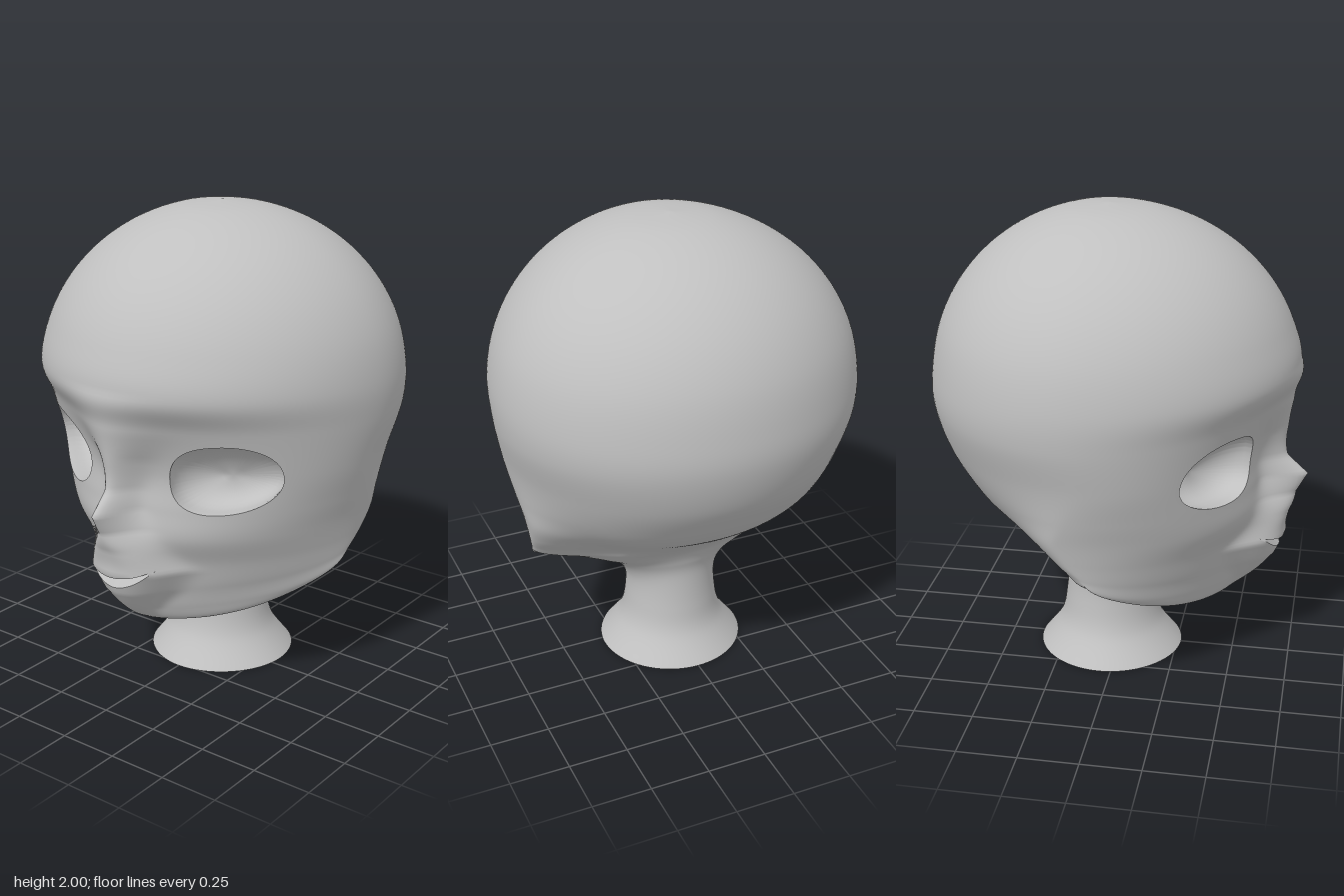
import * as THREE from 'three';
import { mergeVertices } from 'three/addons/utils/BufferGeometryUtils.js';

// A loop holds: front y, front z, side y, half width, side z, back y, back z
// Rounded crown
function crownLoop(i) {
  const a = i * .2475, y = 1.3 + .7 * Math.cos(a), s = Math.sin(a);
  return [y, .8 * s - .05, y, .77 * s, -.05 - .04 * s, y, -.05 - .74 * s];
}
// Round neck, flaring to its base
function neckLoop(y) {
  const r = .202 + .114 * (1 - y / .24) ** 2;
  return [y, r - .047, y, r, -.047, y, -.047 - r];
}
// Face, jaw and underside of the jaw
const FACE = [
  [1.22, .665, 1.2, .765, -.09, 1.2, -.792],
  [1.02, .6, 1.02, .73, -.06, 1.02, -.74],
  [.87, .61, .88, .702, -.11, .87, -.64],
  [.75, .62, .78, .68, -.15, .77, -.55],
  [.63, .58, .69, .66, -.12, .7, -.46],
  [.5, .57, .62, .642, -.07, .645, -.39],
  [.4, .55, .57, .622, -.03, .6, -.335],
  [.33, .49, .54, .54, 0, .56, -.295],
  [.335, .38, .49, .4, 0, .53, -.275],
  [.35, .22, .44, .27, -.02, .48, -.255],
  [.33, .16, .36, .205, -.04, .4, -.238],
];
const LOOPS = [...[0, 1, 2, 3, 4, 5, 6].map(crownLoop), ...FACE, ...[.24, .12, 0].map(neckLoop)];

// Mid-face relief: y, forward amount, half width
const RELIEF = [
  [1.38, 0, .2], [1.21, .066, .16], [1.08, .093, .09], [.95, .11, .06], [.87, .188, .055],
  [.785, .13, .08], [.705, .12, .14], [.6, .14, .2], [.5, .105, .15], [.4, .04, .08], [.34, 0, .06],
];

function spline(get, t) {
  const n = LOOPS.length - 1, i = Math.min(Math.floor(t), n - 1), f = t - i;
  const [a, b, c, d] = [i - 1, i, i + 1, i + 2].map(k => get(Math.min(n, Math.max(0, k))));
  return b + .5 * f * (c - a + f * (2 * a - 5 * b + 4 * c - d + f * (3 * (b - c) + d - a)));
}

function relief(x, y) {
  const i = RELIEF.findIndex(r => y > r[0]);
  if (i < 1) return 0;
  const a = RELIEF[i - 1], b = RELIEF[i], f = (a[0] - y) / (a[0] - b[0]);
  const amount = a[1] + (b[1] - a[1]) * f, width = a[2] + (b[2] - a[2]) * f;
  // Narrow nose above, flatter muzzle below
  const power = 4 - 2 * THREE.MathUtils.smoothstep(y, .62, .8);
  return amount * Math.exp(-(Math.abs(x / width) ** power));
}

const upperLip = x => .585 + 1.4 * x * x;
const lowerLip = x => .535 + 3.2 * x * x;

// Openings: negative inside
function eyeField(p) {
  const dx = Math.abs(p.x) - .392, dy = p.y - 1.018 - .1 * dx;
  return Math.abs(dx / .188) ** 2.2 + Math.abs(dy / .148) ** 2.2 - 1;
}
const mouthField = p => 10 * Math.max(p.y - upperLip(p.x), lowerLip(p.x) - p.y);
const field = p => p.z < .2 ? 1 : Math.min(eyeField(p), mouthField(p));

// Eye socket: a short rim, then a bowl sloping down and inward
function eyeStations(p) {
  const side = Math.sign(p.x), stations = [p];
  const rim = new THREE.Vector3(p.x - side * .012, p.y, p.z - .03);
  const centre = new THREE.Vector3(side * .38, 1.01, .46);
  for (let i = 0; i <= 8; i++) {
    const a = i / 8 * Math.PI / 2;
    const q = rim.clone().sub(centre).multiplyScalar(Math.cos(a)).add(centre);
    stations.push(q.add(new THREE.Vector3(-side * .05, -.03, -.14).multiplyScalar(Math.sin(a))));
  }
  return stations;
}
// Mouth: both lips run back to a line under the upper lip
const mouthStations = p => [p, new THREE.Vector3(p.x, upperLip(p.x) + .006,
  p.z - .045 * Math.max(0, 1 - (p.x / .167) ** 2))];

// A point of the skin; u runs round from the front, t runs down the loops
function skin(u, t) {
  const tau = u * Math.PI * 2, phi = tau - .45 * Math.sin(tau);
  const c = Math.cos(phi), s = Math.sin(phi);
  const [yF, zF, yS, w, zS, yB, zB] = LOOPS[0].map((_, k) => spline(i => LOOPS[i][k], t));
  const p = new THREE.Vector3();
  if (c > 0) {
    // Front half, tapering to a wedge along the jaw
    const bend = 2 / (1.92 - .6 * Math.exp(-(((t - 13) / 2.1) ** 2)));
    p.x = w * Math.sign(s) * Math.abs(s) ** bend;
    p.y = yF + (yS - yF) * (1 - c) ** 1.3;
    p.z = zS + (zF - zS) * c ** bend;
    p.z += relief(p.x, p.y) * THREE.MathUtils.smoothstep(c, 0, .4);
  } else {
    // Rear half, narrowing behind the jaw
    const pinch = .33 * Math.exp(-(((t - 12) / 2.4) ** 2)) * THREE.MathUtils.smoothstep(-c, 0, .7);
    p.set(w * s * (1 - pinch), yS + (yB - yS) * c * c, zS + (zS - zB) * c);
  }
  return { u, t, p, f: field(p) };
}

// Border point between a kept and a cut corner
function border(a, b) {
  let keep = a.f > 0 ? a : b, cut = a.f > 0 ? b : a;
  for (let i = 0; i < 14; i++) {
    const m = skin((keep.u + cut.u) / 2, (keep.t + cut.t) / 2);
    if (m.f > 0) keep = m; else cut = m;
  }
  return keep;
}

function surface(points) {
  const g = new THREE.BufferGeometry();
  g.setAttribute('position', new THREE.Float32BufferAttribute(points.flatMap(p => [p.x, p.y, p.z]), 3));
  const merged = mergeVertices(g, 1e-5);
  merged.computeVertexNormals();
  return merged;
}

export function createModel() {
  const grey = new THREE.MeshStandardMaterial({ color: 0xc0c0c0, side: THREE.DoubleSide });
  grey.name = 'plain grey';
  const group = new THREE.Group();
  group.name = 'head';
  const add = (name, points) => {
    const mesh = new THREE.Mesh(surface(points), grey);
    mesh.name = name;
    group.add(mesh);
  };

  const shell = [], eyeSockets = [], mouth = [];
  // Keep the part of a triangle outside the openings and line the cut edge
  function clip(tri) {
    const poly = [], edge = [];
    tri.forEach((a, i) => {
      const b = tri[(i + 1) % 3];
      if (a.f > 0) poly.push(a.p);
      if ((a.f > 0) !== (b.f > 0)) {
        const m = border(a, b).p;
        poly.push(m);
        edge[a.f > 0 ? 0 : 1] = m;
      }
    });
    for (let i = 1; i + 1 < poly.length; i++) shell.push(poly[0], poly[i], poly[i + 1]);
    if (edge.length === 2) {
      const isEye = edge[0].y > .75;
      const [a, b] = edge.map(isEye ? eyeStations : mouthStations);
      const lining = isEye ? eyeSockets : mouth;
      for (let i = 0; i + 1 < a.length; i++) lining.push(b[i], a[i], a[i + 1], b[i], a[i + 1], b[i + 1]);
    }
  }

  // Skull, face, jaw and neck in one skin
  const cols = 220, rows = 200, span = LOOPS.length - 1;
  const grid = [];
  for (let j = 0; j <= rows; j++) {
    const line = [];
    for (let i = 0; i < cols; i++) line.push(skin(i / cols, j / rows * span));
    line.push({ ...line[0], u: 1 });
    grid.push(line);
  }
  for (let j = 0; j < rows; j++) {
    for (let i = 0; i < cols; i++) {
      const a = grid[j][i], b = grid[j][i + 1], c = grid[j + 1][i], d = grid[j + 1][i + 1];
      if (j > 0) clip([a, d, b]);
      clip([a, c, d]);
    }
  }

  add('headAndNeck', shell);
  add('eyeSockets', eyeSockets);
  add('mouth', mouth);
  return group;
}
